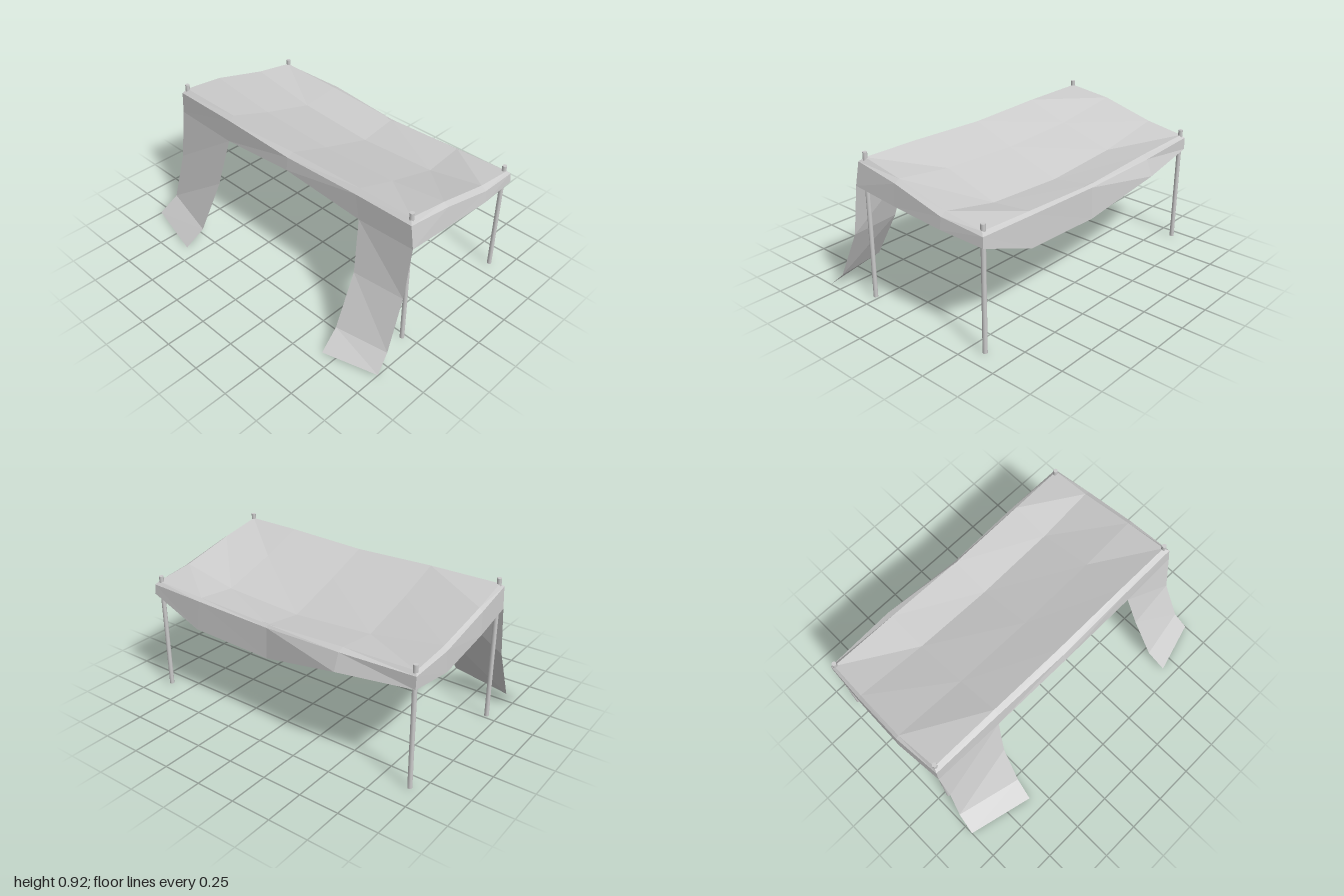
import * as THREE from 'three';

const cloth = new THREE.MeshStandardMaterial({ color: 0xcccccc, flatShading: true, side: THREE.DoubleSide });
const metal = new THREE.MeshStandardMaterial({ color: 0xcccccc });

// Cloth panel lofted through rows of [x, y, z] points
function sheet(name, rows) {
  const n = rows[0].length, index = [];
  for (let r = 0; r < rows.length - 1; r++) {
    for (let c = 0; c < n - 1; c++) {
      const a = r * n + c, b = a + n;
      index.push(a, b, a + 1, a + 1, b, b + 1);
    }
  }
  const geo = new THREE.BufferGeometry();
  geo.setAttribute('position', new THREE.Float32BufferAttribute(rows.flat(2), 3));
  geo.setIndex(index);
  geo.computeVertexNormals();
  const mesh = new THREE.Mesh(geo, cloth);
  mesh.name = name;
  return mesh;
}

// Round bar between two points
function bar(name, from, to, radius, sides) {
  const a = new THREE.Vector3(...from), b = new THREE.Vector3(...to);
  const mesh = new THREE.Mesh(new THREE.CylinderGeometry(radius, radius, a.distanceTo(b), sides), metal);
  mesh.position.copy(a).add(b).multiplyScalar(0.5);
  mesh.quaternion.setFromUnitVectors(new THREE.Vector3(0, 1, 0), b.sub(a).normalize());
  mesh.name = name;
  return mesh;
}

export function createModel() {
  const model = new THREE.Group();
  model.name = 'canopy';

  // Sagging roof, front row to back row
  const xs = [-0.94, -0.49, 0.03, 0.55, 0.91];
  const zs = [0.275, 0, -0.35, -0.605];
  const heights = [
    [0.885, 0.882, 0.865, 0.882, 0.885],
    [0.845, 0.785, 0.765, 0.785, 0.835],
    [0.76, 0.685, 0.652, 0.68, 0.755],
    [0.725, 0.715, 0.69, 0.71, 0.725],
  ];
  const roof = heights.map((row, r) => row.map((y, c) => [xs[c], y, zs[r]]));
  roof[1][0][0] = -0.96;
  roof[2][0][0] = -0.95;
  model.add(sheet('roof', roof));

  // Skirts: roof edge, folded lip, hanging hem
  const frontHem = [[-0.96, 0.72, 0.31], [-0.5, 0.71, 0.315], [0.03, 0.765, 0.328], [0.585, 0.71, 0.315], [0.96, 0.72, 0.31]];
  const frontLip = [[-0.955, 0.86, 0.305], [-0.49, 0.858, 0.308], [0.03, 0.845, 0.315], [0.55, 0.858, 0.308], [0.935, 0.86, 0.305]];
  const backLip = [[-0.955, 0.705, -0.625], [-0.49, 0.70, -0.645], [0.03, 0.675, -0.62], [0.55, 0.695, -0.628], [0.925, 0.705, -0.625]];
  const backHem = [[-0.955, 0.63, -0.628], [-0.49, 0.60, -0.685], [0.03, 0.485, -0.63], [0.57, 0.51, -0.64], [0.93, 0.645, -0.63]];
  const rightLip = [frontLip[0], [-0.98, 0.825, 0], [-0.97, 0.735, -0.35], backLip[0]];
  const rightHem = [frontHem[0], [-0.985, 0.685, 0], [-0.972, 0.605, -0.345], backHem[0]];
  const leftLip = [frontLip[4], [0.94, 0.815, 0], [0.945, 0.735, -0.35], backLip[4]];
  const leftHem = [frontHem[4], [0.955, 0.688, 0], [0.955, 0.665, -0.35], backHem[4]];
  model.add(
    sheet('frontSkirt', [roof[0], frontLip, frontHem]),
    sheet('backSkirt', [roof[3], backLip, backHem]),
    sheet('rightSkirt', [roof.map((row) => row[0]), rightLip, rightHem]),
    sheet('leftSkirt', [roof.map((row) => row[4]), leftLip, leftHem]),
  );

  // Front drapes spreading onto the ground, outer and inner edge per row
  model.add(
    sheet('rightDrape', [
      [frontHem[0], frontHem[1]],
      [[-0.955, 0.4, 0.36], [-0.54, 0.4, 0.39]],
      [[-0.98, 0.095, 0.435], [-0.568, 0.095, 0.535]],
      [[-1, 0.006, 0.56], [-0.588, 0.002, 0.66]],
    ]),
    sheet('leftDrape', [
      [frontHem[4], frontHem[3]],
      [[0.96, 0.4, 0.36], [0.63, 0.4, 0.392]],
      [[0.98, 0.095, 0.49], [0.648, 0.095, 0.55]],
      [[1, 0.006, 0.585], [0.666, 0.002, 0.68]],
    ]),
  );

  // Corner poles
  const poles = [
    ['frontRightPole', -0.935, 0.275, 0.917],
    ['frontLeftPole', 0.91, 0.275, 0.917],
    ['backLeftPole', 0.895, -0.598, 0.76],
    ['backRightPole', -0.935, -0.603, 0.76],
  ];
  for (const [name, x, z, top] of poles) model.add(bar(name, [x, 0.004, z], [x, top, z], 0.014, 10));

  // Slim rails joining the poles under the roof edge
  poles.forEach(([, x, z, top], i) => {
    const [, x2, z2, top2] = poles[(i + 1) % 4];
    model.add(bar('rail', [x, top - 0.075, z], [x2, top2 - 0.075, z2], 0.007, 6));
  });

  return model;
}
